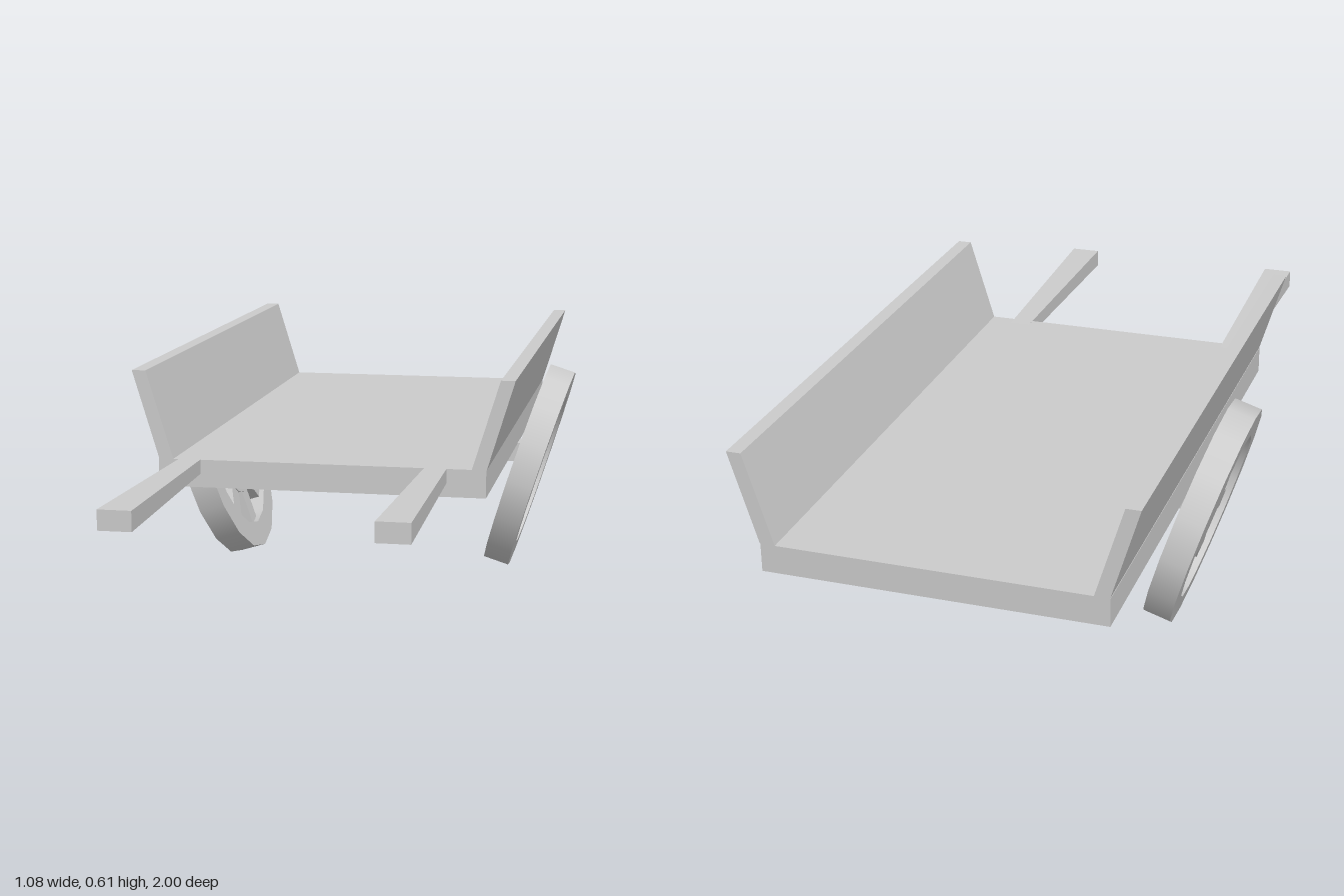
import * as THREE from 'three';

const material = new THREE.MeshStandardMaterial({ color: 0xcccccc, flatShading: true });
const smooth = new THREE.MeshStandardMaterial({ color: 0xcccccc });

function add(parent, name, geometry, mat = material) {
  const mesh = new THREE.Mesh(geometry, mat);
  mesh.name = name;
  parent.add(mesh);
  return mesh;
}

// Extrudes an outline in the front plane between two depths
function prism(points, z0, z1) {
  const shape = new THREE.Shape(points.map(([x, y]) => new THREE.Vector2(x, y)));
  const geo = new THREE.ExtrudeGeometry(shape, { depth: z1 - z0, bevelEnabled: false });
  return geo.translate(0, 0, z0);
}

// Wheel around its own x axis
function createWheel() {
  const wheel = new THREE.Group();
  const outer = 0.277, inner = 0.21, half = 0.034, sides = 16;

  // Rim: each face has its own profile points so the edges stay sharp
  const corners = [[inner, -half], [outer, -half], [outer, half], [inner, half]];
  corners.forEach(([r, y], i) => {
    const [r2, y2] = corners[(i + 1) % 4];
    const face = new THREE.LatheGeometry([new THREE.Vector2(r, y), new THREE.Vector2(r2, y2)], sides);
    add(wheel, 'rim', face.rotateZ(Math.PI / 2), smooth);
  });

  add(wheel, 'hub', new THREE.CylinderGeometry(0.118, 0.118, 0.045, sides).rotateZ(Math.PI / 2), smooth);

  // Spokes
  for (let i = 0; i < 9; i++) {
    const spoke = new THREE.BoxGeometry(0.04, 0.13, 0.05);
    spoke.translate(0, 0.16, 0);
    add(wheel, 'spoke', spoke).rotation.x = Math.PI * 1.03 + (i * Math.PI * 2) / 9;
  }
  return wheel;
}

// Handle that flares towards its grip
function createHandle() {
  const geo = new THREE.BoxGeometry(0.052, 0.034, 0.62);
  const pos = geo.attributes.position;
  for (let i = 0; i < pos.count; i++) {
    if (pos.getZ(i) > 0) {
      pos.setX(i, pos.getX(i) * 1.46);
      pos.setY(i, pos.getY(i) * 1.35);
    }
  }
  geo.computeVertexNormals();
  return geo;
}

export function createModel() {
  const cart = new THREE.Group();
  cart.name = 'handCart';

  // Flat bed
  add(cart, 'bed', new THREE.BoxGeometry(0.79, 0.067, 1.41)).position.set(-0.003, 0.3715, -0.295);

  // Axle beam, deeper at its ends
  add(cart, 'axle', prism([
    [-0.41, 0.29], [-0.38, 0.29], [-0.16, 0.306], [0.155, 0.306],
    [0.375, 0.29], [0.4, 0.29], [0.405, 0.34], [-0.41, 0.34],
  ], -0.35, -0.29));

  for (const side of [-1, 1]) {
    const label = side > 0 ? 'left' : 'right';

    // Outward-leaning side boards
    const board = [[0.36, 0.405], [0.395, 0.405], [0.459, 0.617], [0.425, 0.617]];
    const outline = board.map(([x, y]) => [x * side - 0.002, y]);
    add(cart, label + 'Board', prism(outline, -1, 0.41));

    // Wheels, tilted so the tops lean out
    const wheel = createWheel();
    wheel.name = label + 'Wheel';
    wheel.position.set(side * 0.426 - 0.002, 0.277, -0.32);
    wheel.rotation.z = -side * 0.304;
    cart.add(wheel);

    // Pull handles
    add(cart, label + 'Handle', createHandle()).position.set(side > 0 ? 0.272 : -0.322, 0.388, 0.69);
  }
  return cart;
}
